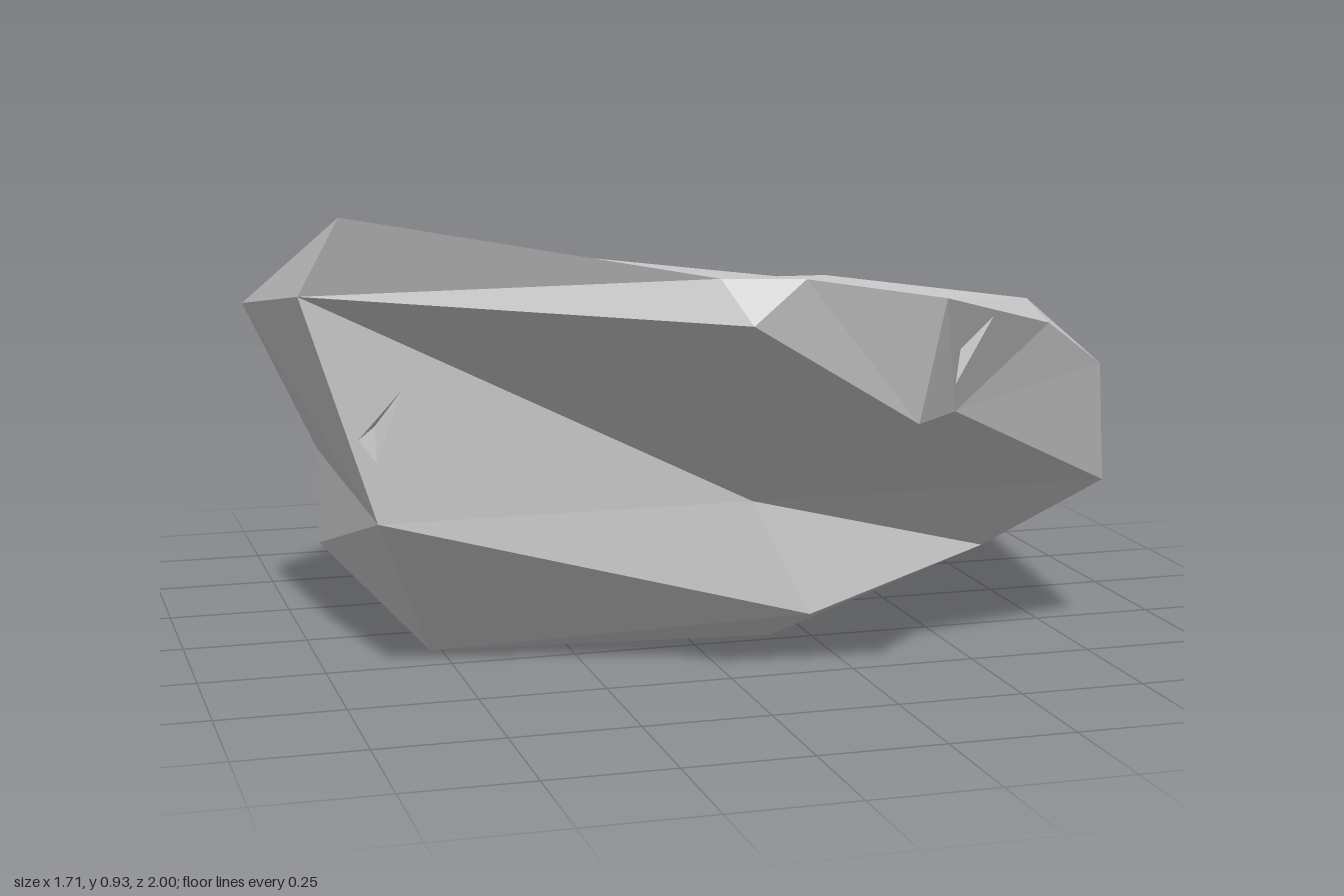
import * as THREE from 'three';

// Corners of the boulder, by tier
const P = {
  // top rim and crown
  A: [-0.76, 0.93, 0.58], B: [-0.16, 0.845, 0.935], C: [-0.02, 0.845, 0.98], E: [0.27, 0.79, 0.905],
  G: [0.58, 0.695, 0.65], H: [0.85, 0.63, -0.07], U: [0.55, 0.63, -0.54], T: [0.1, 0.63, -0.58],
  S: [-0.285, 0.63, -0.91], R: [-0.675, 0.63, -0.3], L: [-0.855, 0.69, -0.06],
  I: [-0.4, 0.81, 0.14], Q: [0.07, 0.63, -0.3],
  // under the rim
  A2: [-0.82, 0.775, 0.47], D: [-0.12, 0.77, 1.0], E2: [0.24, 0.555, 0.855], E3: [0.36, 0.55, 0.73],
  G2: [0.745, 0.59, 0.53], Y: [0.64, 0.52, -0.79], V: [-0.31, 0.53, -1.0],
  // waist
  F: [-0.675, 0.335, 0.44], J: [-0.675, 0.335, -0.3], N: [0.06, 0.335, 0.44], M: [0.8, 0.335, 0.44],
  O: [0.8, 0.335, -0.3], X: [0.68, 0.335, -0.885], W: [0.13, 0.335, -0.87], V2: [-0.37, 0.335, -0.93],
  // base
  K1: [0.18, 0.1, 0.44], K2: [0.6, 0.18, 0.3], K3: [0.56, 0.04, -0.16], K4: [0.17, 0, 0.22],
  K5: [-0.53, 0.01, 0.18], K6: [0.6, 0.145, -0.73], K7: [0.11, 0.19, -0.84],
  K8: [-0.52, 0.12, -0.65], K9: [-0.675, 0.13, -0.3],
};

// Each facet is a fan from its first corner
const facets = {
  crown: ['I A B C E', 'I E Q', 'Q E G H', 'A L R Q I', 'Q R S T U H'],
  rim: ['A2 D B A', 'B D C', 'C D E2 E', 'G E3 G2', 'G G2 H', 'L A2 A', 'E E2 E3'],
  overhang: ['D A2 N', 'E2 D N', 'E3 E2 N', 'E3 N M', 'G2 E3 M'],
  sides: ['L J F A2', 'L R J', 'H G2 M', 'H M O', 'H O X', 'H Y U'],
  back: ['Y U T W X', 'S T W V', 'R S V', 'R V V2 J', 'W V V2 K7', 'X W K7 K6'],
  base: ['N M K2 K1', 'F N K1 K5', 'F K5 K9 J', 'M O K3 K2', 'O X K6 K3', 'V2 J K9 K8',
    'K4 K5 K1 K2 K3', 'K4 K3 K6 K7 K8 K9 K5'],
};

// Facets split by a thin crack: corners, then the crack as shares of the two edges
const cracks = [
  ['A2 F N', [[0.244, 0.176], [0.6, 0.025], [0.68, 0.05]]],
  ['E E3 G', [[0.42, 0.09], [0.057, 0.435], [0.75, 0.02]]],
  ['H Y X', [[0.36, 0.1], [0.08, 0.36], [0.28, 0.14]]],
  ['V2 K8 K7', [[0.16, 0.31], [0.64, 0.35], [0.62, 0.37]]],
];

const corners = (text) => text.split(' ').map((k) => new THREE.Vector3(...P[k]));
const core = new THREE.Vector3(0, 0.32, -0.1);
const normalOf = ([a, b, c]) => b.clone().sub(a).cross(c.clone().sub(a)).normalize();

// Turns a triangle so that it faces away from the core
function outward([a, b, c]) {
  return normalOf([a, b, c]).dot(a.clone().sub(core)) < 0 ? [a, c, b] : [a, b, c];
}

function makeMesh(name, points, material) {
  const geometry = new THREE.BufferGeometry().setFromPoints(points);
  geometry.computeVertexNormals();
  const mesh = new THREE.Mesh(geometry, material);
  mesh.name = name;
  return mesh;
}

// A triangular facet with a sliver cut out and a sunken pit behind it
function crackedFacet(text, sliver) {
  const tri = corners(text);
  const [a, b, c] = tri;
  const at = ({ x, y }) => a.clone().multiplyScalar(1 - x - y).addScaledVector(b, x).addScaledVector(c, y);
  const frame = [new THREE.Vector2(0, 0), new THREE.Vector2(1, 0), new THREE.Vector2(0, 1)];
  const hole = sliver.map(([x, y]) => new THREE.Vector2(x, y));
  const all = [...frame, ...hole].map(at);
  const out = [];
  for (const f of THREE.ShapeUtils.triangulateShape(frame, [hole])) out.push(...outward(f.map((i) => all[i])));
  // Pit walls run round the sliver the same way as the facet
  const rim = outward(all.slice(3));
  const pit = rim[0].clone().add(rim[1]).add(rim[2]).divideScalar(3).addScaledVector(normalOf(rim), -0.04);
  rim.forEach((p, i) => out.push(p, rim[(i + 1) % 3], pit));
  return out;
}

export function createModel() {
  const group = new THREE.Group();
  group.name = 'boulder';
  const stone = new THREE.MeshStandardMaterial({ color: 0xcccccc, flatShading: true });

  for (const [name, list] of Object.entries(facets)) {
    const points = [];
    for (const text of list) {
      const v = corners(text);
      for (let i = 1; i < v.length - 1; i++) points.push(...outward([v[0], v[i], v[i + 1]]));
    }
    group.add(makeMesh(name, points, stone));
  }

  cracks.forEach(([text, sliver], i) => {
    group.add(makeMesh(`crackedFacet${i + 1}`, crackedFacet(text, sliver), stone));
  });
  return group;
}
